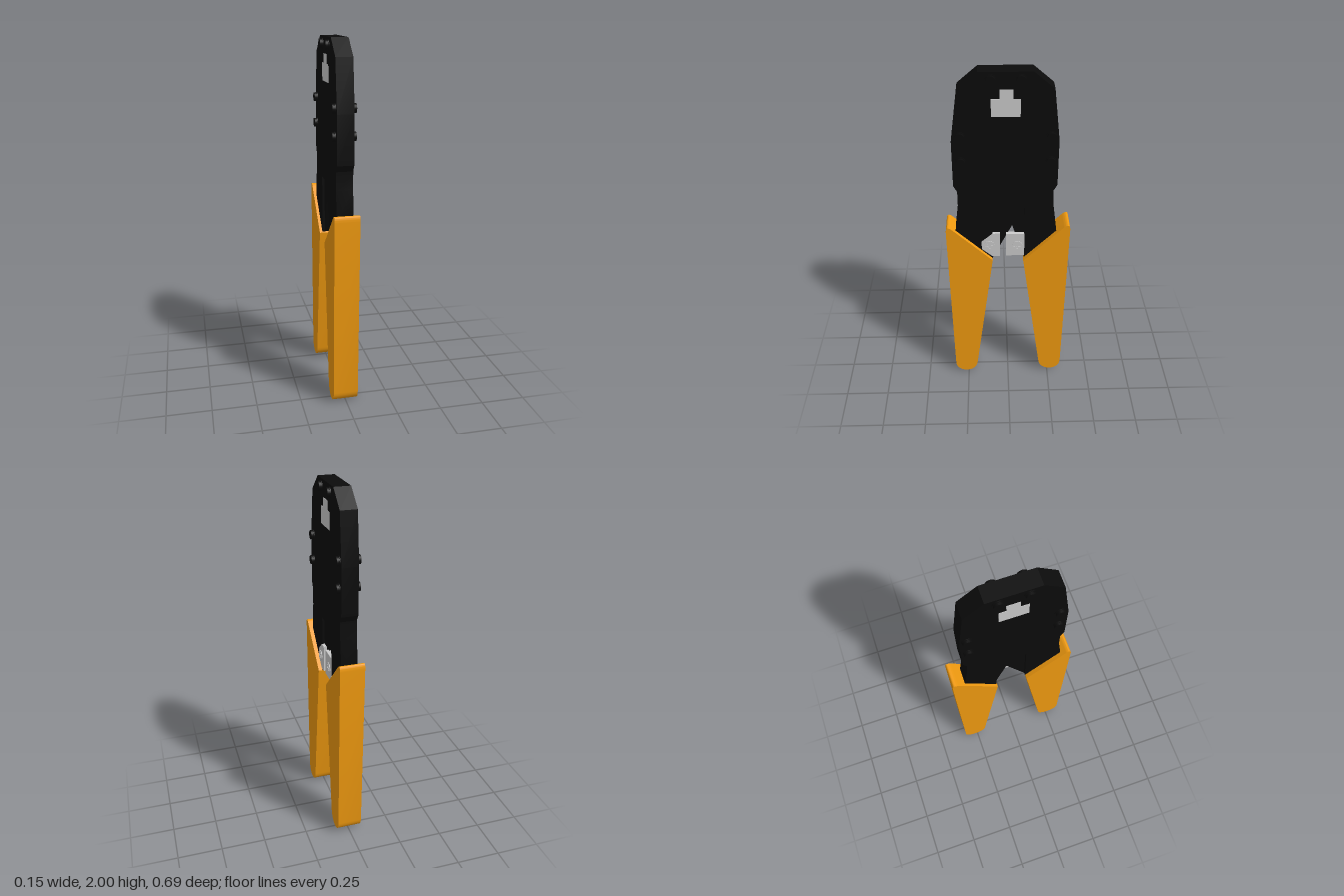
import * as THREE from 'three';
import { toCreasedNormals } from 'three/addons/utils/BufferGeometryUtils.js';

const black = new THREE.MeshStandardMaterial({ color: 0x0b0b0b });
const orange = new THREE.MeshStandardMaterial({ color: 0xf09a10 });
const grey = new THREE.MeshStandardMaterial({ color: 0xcccccc });

const polygon = (points) => new THREE.Shape(points.map(([z, y]) => new THREE.Vector2(z, y)));

// Extrudes a side profile drawn in (z, y) across the span x0..x1
function slab(name, shape, x0, x1, material) {
  const geometry = new THREE.ExtrudeGeometry(shape, { depth: x1 - x0, bevelEnabled: false, curveSegments: 14 });
  geometry.rotateY(-Math.PI / 2);
  geometry.translate(x1, 0, 0);
  const mesh = new THREE.Mesh(toCreasedNormals(geometry, 0.5), material);
  mesh.name = name;
  return mesh;
}

// Grip profile on the +z (side = 1) or -z (side = -1) half
function gripShape(side, lift) {
  const s = new THREE.Shape();
  const z = (v) => v * side;
  s.moveTo(z(0.087), 0.883);
  s.lineTo(z(0.31), 1.095 + lift);
  s.quadraticCurveTo(z(0.346), 1.128 + lift, z(0.345), 1.075 + lift);
  s.lineTo(z(0.33), 0.065 + lift);
  s.bezierCurveTo(z(0.325), -0.021 + lift, z(0.205), -0.021 + lift, z(0.194), 0.065 + lift);
  s.closePath();
  return s;
}

// Screw head: a disc with a cross-shaped slot
function screw(name, z, y, angle) {
  const head = new THREE.Shape().absarc(0, 0, 0.03, 0, Math.PI * 2);
  const a = 0.005, b = 0.021;
  const cross = [[a, a], [a, b], [-a, b], [-a, a], [-b, a], [-b, -a], [-a, -a], [-a, -b], [a, -b], [a, -a], [b, -a], [b, a]];
  head.holes.push(new THREE.Path(cross.map(([u, v]) => new THREE.Vector2(u, v))));
  const mesh = slab(name, head, 0, 0.004, grey);
  mesh.position.set(0.046, y, z);
  mesh.rotation.x = angle;
  return mesh;
}

// Rivet through the body, with a washer on each face
function rivet(z, y) {
  const group = new THREE.Group();
  group.name = 'rivet';
  for (const [radius, length] of [[0.025, 0.128], [0.029, 0.102]]) {
    const pin = new THREE.Mesh(new THREE.CylinderGeometry(radius, radius, length, 20), black);
    pin.name = radius < 0.027 ? 'rivetPin' : 'rivetWasher';
    pin.rotation.z = Math.PI / 2;
    group.add(pin);
  }
  group.position.set(-0.004, y, z);
  return group;
}

export function createModel() {
  const model = new THREE.Group();
  model.name = 'crimpingTool';

  // Body plates, notched between the two arms
  model.add(slab('body', polygon([
    [0.148, 2], [-0.127, 2], [-0.233, 1.91], [-0.265, 1.63], [-0.265, 1.365], [-0.245, 1.33], [-0.25, 1.23],
    [-0.272, 1.06], [-0.26, 0.97], [-0.13, 0.86], [-0.09, 0.89], [-0.09, 1.22], [0.085, 1.22], [0.085, 0.885],
    [0.13, 0.86], [0.27, 0.97], [0.292, 1.07], [0.272, 1.23], [0.272, 1.33], [0.292, 1.365], [0.292, 1.63], [0.254, 1.91],
  ]), -0.05, 0.042, black));

  // Thinner inner arms, set back inside the notch
  model.add(slab('innerArms', polygon([
    [0.15, 1.25], [0.15, 0.95], [0.085, 0.88], [-0.024, 1.1], [-0.09, 0.89], [-0.15, 0.95], [-0.15, 1.25],
  ]), -0.036, 0.028, black));

  // Stepped die insert, visible on both faces
  model.add(slab('dieInsert', polygon([
    [0.085, 1.765], [0.085, 1.86], [0.042, 1.86], [0.042, 1.91], [-0.027, 1.91], [-0.027, 1.86], [-0.064, 1.86], [-0.064, 1.765],
  ]), -0.052, 0.044, grey));

  // Cutter blades with their screws
  model.add(slab('leftBlade', polygon([
    [0.045, 1.055], [0.085, 1.055], [0.148, 1], [0.148, 0.95], [0.09, 0.9], [0.045, 0.9],
  ]), 0.02, 0.046, grey));
  model.add(slab('rightBlade', polygon([
    [0.01, 1.052], [-0.093, 1.052], [-0.093, 0.903], [0.01, 0.903],
  ]), 0.02, 0.046, grey));
  model.add(screw('leftBladeScrew', 0.106, 0.975, 0.25));
  model.add(screw('rightBladeScrew', -0.053, 0.972, 0.1));

  // Rivets
  for (const [z, y] of [[0.085, 1.96], [-0.065, 1.96]]) model.add(rivet(z, y));
  for (const y of [1.655, 1.51]) for (const z of [0.247, -0.225]) model.add(rivet(z, y));

  // Grips
  model.add(slab('frontGrip', gripShape(1, 0), -0.074, 0.065, orange));
  model.add(slab('backGrip', gripShape(-1, 0.013), -0.066, 0.073, orange));

  return model;
}
